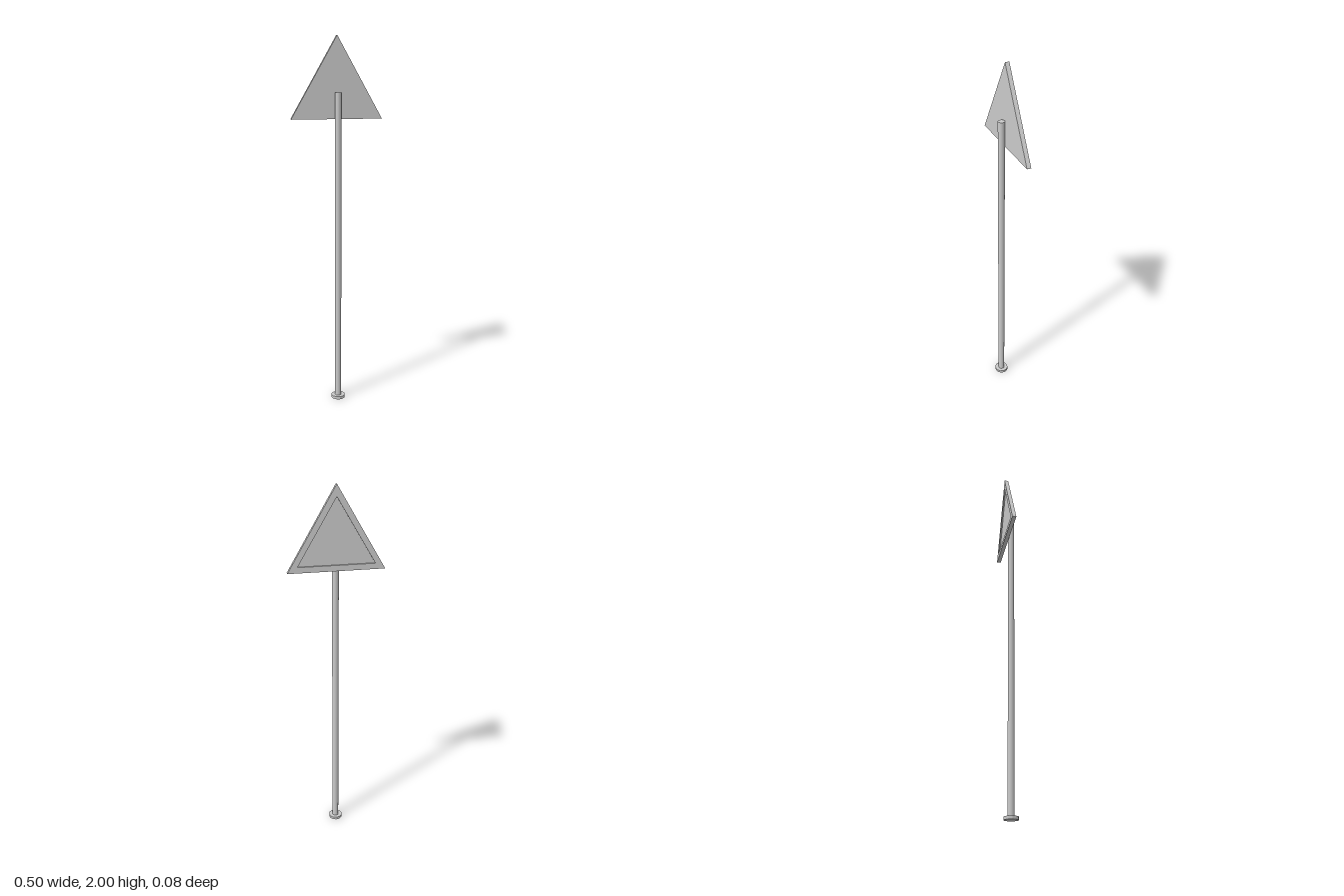
import * as THREE from 'three';

const material = new THREE.MeshStandardMaterial({ color: 0xcccccc });
const flatMaterial = new THREE.MeshStandardMaterial({ color: 0xcccccc, flatShading: true });

// Triangle with its base edge at yLow and its tip at yTop
function triangle(Kind, halfWidth, yLow, yTop) {
  const t = new Kind();
  t.moveTo(-halfWidth, yLow);
  t.lineTo(halfWidth, yLow);
  t.lineTo(0, yTop);
  t.closePath();
  return t;
}

// Slab extruded along z between zBack and zFront
function slab(name, shape, zBack, zFront) {
  const geometry = new THREE.ExtrudeGeometry(shape, { depth: zFront - zBack, bevelEnabled: false });
  geometry.translate(0, 0, zBack);
  const mesh = new THREE.Mesh(geometry, flatMaterial);
  mesh.name = name;
  return mesh;
}

// Upright cylinder standing between two heights
function post(name, radius, yLow, yTop, sides, mat) {
  const geometry = new THREE.CylinderGeometry(radius, radius, yTop - yLow, sides);
  geometry.translate(0, (yLow + yTop) / 2, 0);
  const mesh = new THREE.Mesh(geometry, mat);
  mesh.name = name;
  return mesh;
}

export function createModel() {
  const model = new THREE.Group();
  model.name = 'triangularRoadSign';

  // Pole on a low twelve-sided foot
  model.add(post('baseFoot', 0.038, 0, 0.016, 12, flatMaterial));
  model.add(post('pole', 0.0175, 0.016, 1.71, 16, material));

  // Sign: a plate with a raised rim around a recessed face at the back
  const sign = new THREE.Group();
  sign.name = 'sign';
  const rim = triangle(THREE.Shape, 0.248, 1.572, 2);
  rim.holes.push(triangle(THREE.Path, 0.197, 1.602, 1.94));
  sign.add(slab('signRim', rim, -0.04, -0.032));
  sign.add(slab('signPlate', triangle(THREE.Shape, 0.248, 1.572, 2), -0.032, -0.018));
  model.add(sign);

  return model;
}
